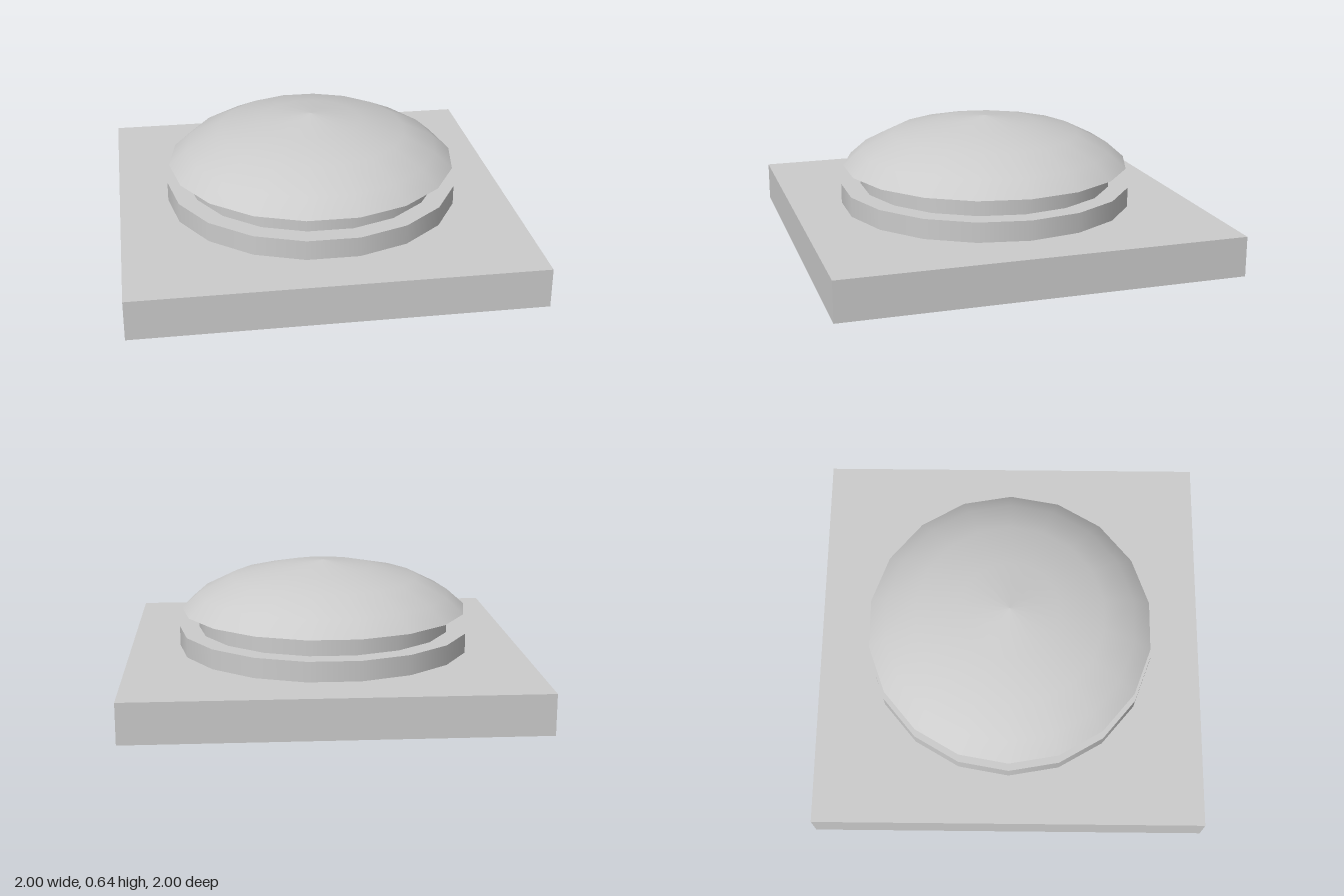
import * as THREE from 'three';

const SIDES = 18;
const material = new THREE.MeshStandardMaterial({ color: 0xcccccc });

function add(group, name, geometry, y) {
  const mesh = new THREE.Mesh(geometry, material);
  mesh.name = name;
  mesh.position.y = y;
  group.add(mesh);
  return mesh;
}

// Round step with a corner of its polygon on the x axis
const disc = (radius, height) =>
  new THREE.CylinderGeometry(radius, radius, height, SIDES, 1, false, Math.PI / 2);

export function createModel() {
  const group = new THREE.Group();
  group.name = 'domedButton';

  // Square plinth and two round steps
  add(group, 'basePlate', new THREE.BoxGeometry(2, 0.2, 2), 0.1);
  add(group, 'collar', disc(0.75, 0.1), 0.25);
  add(group, 'neck', disc(0.65, 0.1), 0.35);

  // Shallow dome, profile from rim to apex
  const profile = [[0.737, 0], [0.648, 0.078], [0.484, 0.16], [0.256, 0.212], [0, 0.245]]
    .map(([r, y]) => new THREE.Vector2(r, y));
  add(group, 'dome', new THREE.LatheGeometry(profile, SIDES, Math.PI / 2), 0.4);

  // Flat underside of the dome's overhang
  const underside = new THREE.CircleGeometry(0.737, SIDES).rotateX(Math.PI / 2);
  add(group, 'domeUnderside', underside, 0.4);

  return group;
}
